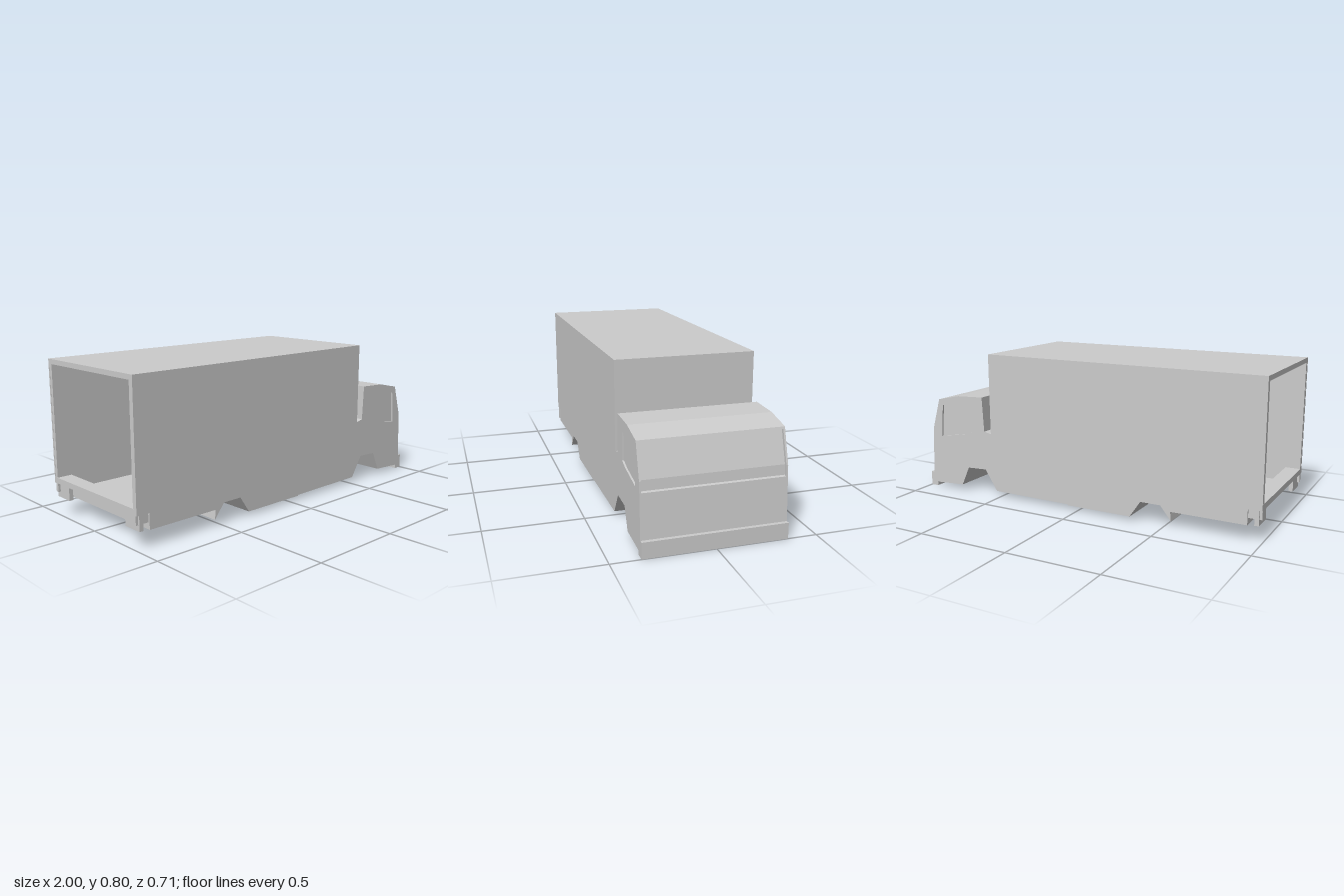
import * as THREE from 'three';

const HALF = 0.354;  // half width of the truck
const SKIN = 0.009;  // thickness of the side panels

const material = new THREE.MeshStandardMaterial({ color: 0xcccccc, flatShading: true });

// Roof and cab back, up to the top of the windscreen
const upper = [[-1, 0.8], [0.555, 0.8], [0.555, 0.355], [0.6, 0.365], [0.61, 0.557], [0.775, 0.55], [0.915, 0.52]];
// Nose, bumper, wheel arches and underside, back to the tail
const lower = [
  [0.98, 0.08], [1, 0.08], [1, 0], [0.955, 0], [0.955, 0.022], [0.77, 0.032],
  [0.72, 0.14], [0.6, 0.145], [0.525, 0.03], [0.06, 0.027], [0.06, 0.022], [-0.31, 0.022],
  [-0.37, 0.11], [-0.48, 0.11], [-0.54, 0.035], [-0.535, 0.085], [-0.93, 0.085],
  [-0.93, 0.165], [-1, 0.165],
];
// Recessed windscreen between its top and bottom lips
const windscreen = [[0.918, 0.51], [0.903, 0.506], [0.95, 0.35], [0.953, 0.3], [0.968, 0.297]];
// Rear sill and hollow cargo space, open at the tail
const hollow = [[-1, 0.195], [-0.92, 0.195], [-0.92, 0.12], [0.535, 0.12], [0.535, 0.775], [-1, 0.775]];
const sideWindow = [[0.685, 0.35], [0.74, 0.333], [0.905, 0.305], [0.89, 0.488], [0.685, 0.493]];

const toPoints = (list) => list.map(([x, y]) => new THREE.Vector2(x, y));

function addMesh(parent, name, geometry, x = 0, y = 0, z = 0) {
  const mesh = new THREE.Mesh(geometry, material);
  mesh.name = name;
  mesh.position.set(x, y, z);
  parent.add(mesh);
}

// Extrude a side profile across the truck from z0 to z0 + depth
function addProfile(parent, name, points, z0, depth, hole) {
  const shape = new THREE.Shape(toPoints(points));
  if (hole) shape.holes.push(new THREE.Path(toPoints(hole)));
  addMesh(parent, name, new THREE.ExtrudeGeometry(shape, { depth, bevelEnabled: false }), 0, 0, z0);
}

export function createModel() {
  const truck = new THREE.Group();
  truck.name = 'boxTruck';

  // Body between the side panels
  addProfile(truck, 'body', [...upper, ...windscreen, ...lower, ...hollow], -HALF + SKIN, 2 * (HALF - SKIN));

  const sideOutline = [...upper, [0.965, 0.35], ...lower];
  for (const side of [-1, 1]) {
    const name = side > 0 ? 'front' : 'back';
    // Side panel with the cab window cut out
    addProfile(truck, name + 'SidePanel', sideOutline, side > 0 ? HALF - SKIN : -HALF, SKIN, sideWindow);
    // Inner cargo wall
    addMesh(truck, name + 'CargoWall', new THREE.BoxGeometry(1.537, 0.66, 0.018),
      -0.2305, 0.449, side * (HALF - SKIN - 0.009));
    // Rear bumper bracket
    addMesh(truck, name + 'RearBracket', new THREE.BoxGeometry(0.022, 0.078, 0.11),
      -0.975, 0.128, side * (HALF - 0.055));
  }
  return truck;
}
